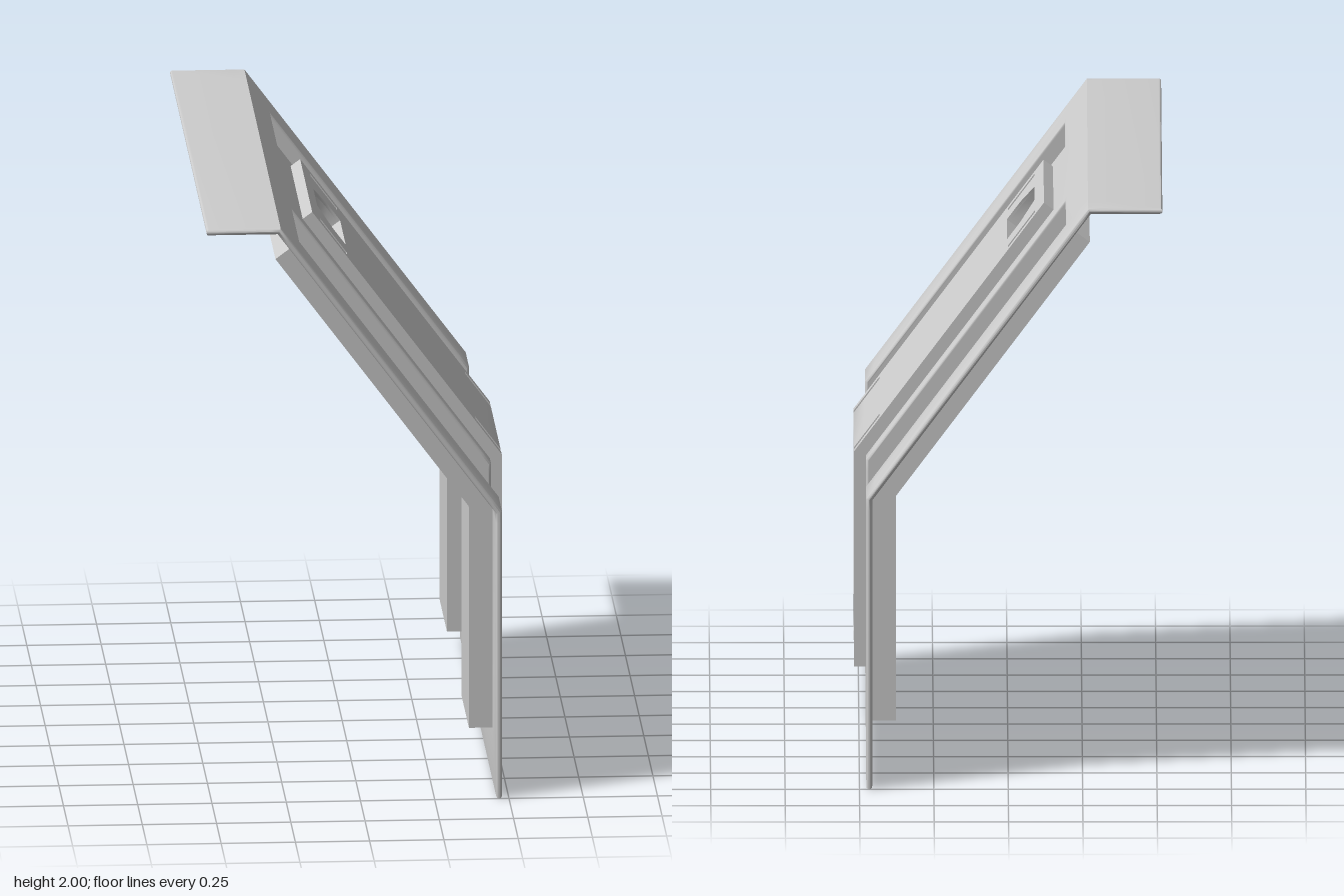
import * as THREE from 'three';
import { toCreasedNormals } from 'three/addons/utils/BufferGeometryUtils.js';

const material = new THREE.MeshStandardMaterial({ color: 0xcccccc });

// Bent path of the sheet: v = 0..1 upright, 1..2 sloping back, above 2 level flange.
const FOLD_X = 0.477, RUN = 0.745;
const len = Math.hypot(RUN, 1);
const slopeNormal = [1 / len, RUN / len];
const miter = (a, b) => {
  const d = 1 + a[0] * b[0] + a[1] * b[1];
  return [(a[0] + b[0]) / d, (a[1] + b[1]) / d];
};
const lowerMiter = miter([1, 0], slopeNormal);
const upperMiter = miter(slopeNormal, [0, 1]);

// Place a point at path position v, raised by off from the outer skin.
function place(v, off) {
  const e = 1e-6;
  let n = [0, 1];
  if (Math.abs(v - 1) < e) n = lowerMiter;
  else if (Math.abs(v - 2) < e) n = upperMiter;
  else if (v < 1) n = [1, 0];
  else if (v < 2) n = slopeNormal;
  const x = FOLD_X - RUN * Math.min(Math.max(v - 1, 0), 1) - Math.max(v - 2, 0);
  return [x + n[0] * off, Math.min(v, 2) + n[1] * off];
}

// Cut one triangle along the line v = c.
function splitTriangle(tri, c) {
  const up = [], down = [];
  tri.forEach((p, i) => {
    const q = tri[(i + 1) % 3];
    if (p[1] >= c) up.push(p);
    if (p[1] <= c) down.push(p);
    if ((p[1] - c) * (q[1] - c) < 0) {
      const t = (c - p[1]) / (q[1] - p[1]);
      const m = [p[0] + (q[0] - p[0]) * t, c, p[2] + (q[2] - p[2]) * t];
      up.push(m);
      down.push(m);
    }
  });
  const fan = (poly) => poly.slice(2).map((p, i) => [poly[0], poly[i + 1], p]);
  return [...fan(up), ...fan(down)];
}

// Fold a flat slab (x = -z, y = v, z = offset) along the path.
// The cuts beside each fold keep the soft shading close to it.
function fold(flat) {
  const src = flat.index ? flat.toNonIndexed() : flat;
  const a = src.attributes.position;
  let tris = [];
  for (let i = 0; i < a.count; i += 3) {
    tris.push([0, 1, 2].map((k) => [a.getX(i + k), a.getY(i + k), a.getZ(i + k)]));
  }
  for (const c of [0.96, 1, 1.04, 1.96, 2, 2.04]) {
    tris = tris.flatMap((t) =>
      t.every((p) => p[1] >= c) || t.every((p) => p[1] <= c) ? [t] : splitTriangle(t, c));
  }
  const out = [];
  for (const t of tris) for (const [x, v, off] of t) out.push(...place(v, off), -x);
  const g = new THREE.BufferGeometry();
  g.setAttribute('position', new THREE.Float32BufferAttribute(out, 3));
  return toCreasedNormals(g, 0.7);
}

// Outlines are lists of [z, v]; points are reversed to run counter-clockwise.
const rect = (z0, z1, v0, v1) => [[z0, v0], [z1, v0], [z1, v1], [z0, v1]];
const toPoints = (o) => o.map(([z, v]) => new THREE.Vector2(-z, v)).reverse();

function grow(o, t) {
  const mid = (k) => (Math.min(...o.map((p) => p[k])) + Math.max(...o.map((p) => p[k]))) / 2;
  const cz = mid(0), cv = mid(1);
  return o.map(([z, v]) => [z + t * Math.sign(z - cz), v + t * Math.sign(v - cv)]);
}

function slab(name, outline, holes, from, to, bevel = 0) {
  const shape = new THREE.Shape(toPoints(outline));
  for (const h of holes) shape.holes.push(new THREE.Path(toPoints(h)));
  const flat = new THREE.ExtrudeGeometry(shape, {
    depth: to - from - 2 * bevel,
    bevelEnabled: bevel > 0,
    bevelSize: bevel,
    bevelThickness: bevel,
    bevelOffset: -bevel,
    bevelSegments: 3,
  });
  flat.translate(0, 0, from + bevel);
  const mesh = new THREE.Mesh(fold(flat), material);
  mesh.name = name;
  return mesh;
}

// Open tray: thin walls around an outline plus a floor.
function tray(name, outline, bottom, top, wall) {
  const group = new THREE.Group();
  group.name = name;
  const outer = grow(outline, wall);
  group.add(
    slab(name + 'Wall', outer, [outline], bottom, top),
    slab(name + 'Floor', outer, [], bottom, bottom + 0.006),
  );
  return group;
}

export function createModel() {
  const model = new THREE.Group();
  model.name = 'foldedPanel';

  // Folded sheet with openings for the two channels and the raised cover
  const channels = [rect(0.4, 0.8, 0.2, 1.895), rect(-0.8, -0.4, 0.2, 1.895)];
  const cover = rect(-0.33, 0.33, 0.272, 1.846);
  model.add(slab('sheet', rect(-1, 1, 0, 2.25),
    [...channels, grow(cover, -0.012)], -0.02, 0, 0.009));

  // Recessed channels
  channels.forEach((c, i) =>
    model.add(tray(i ? 'rightChannel' : 'leftChannel', c, -0.1, -0.009, 0.006)));

  // Slots and hand grips in the cover
  const slots = [];
  for (const z of [-0.28, 0.28]) {
    for (const [v0, v1] of [[0.3, 0.43], [0.91, 1.105], [1.685, 1.805]]) {
      slots.push(rect(z - 0.015, z + 0.015, v0, v1));
    }
  }
  const grip = (v) => [[-0.152, v], [0.152, v], [0.152, v + 0.06],
    [0.1, v + 0.125], [-0.1, v + 0.125], [-0.152, v + 0.06]];
  const grips = [grip(0.305), grip(1.68)];

  // Raised hollow cover
  model.add(
    slab('coverFace', cover, [...slots, ...grips], 0.03, 0.04),
    slab('coverRim', cover, [grow(cover, -0.012)], -0.012, 0.03),
  );
  slots.forEach((s) => model.add(tray('slot', s, 0.008, 0.036, 0.004)));
  grips.forEach((g) => model.add(tray('handGrip', g, -0.012, 0.036, 0.004)));

  return model;
}
